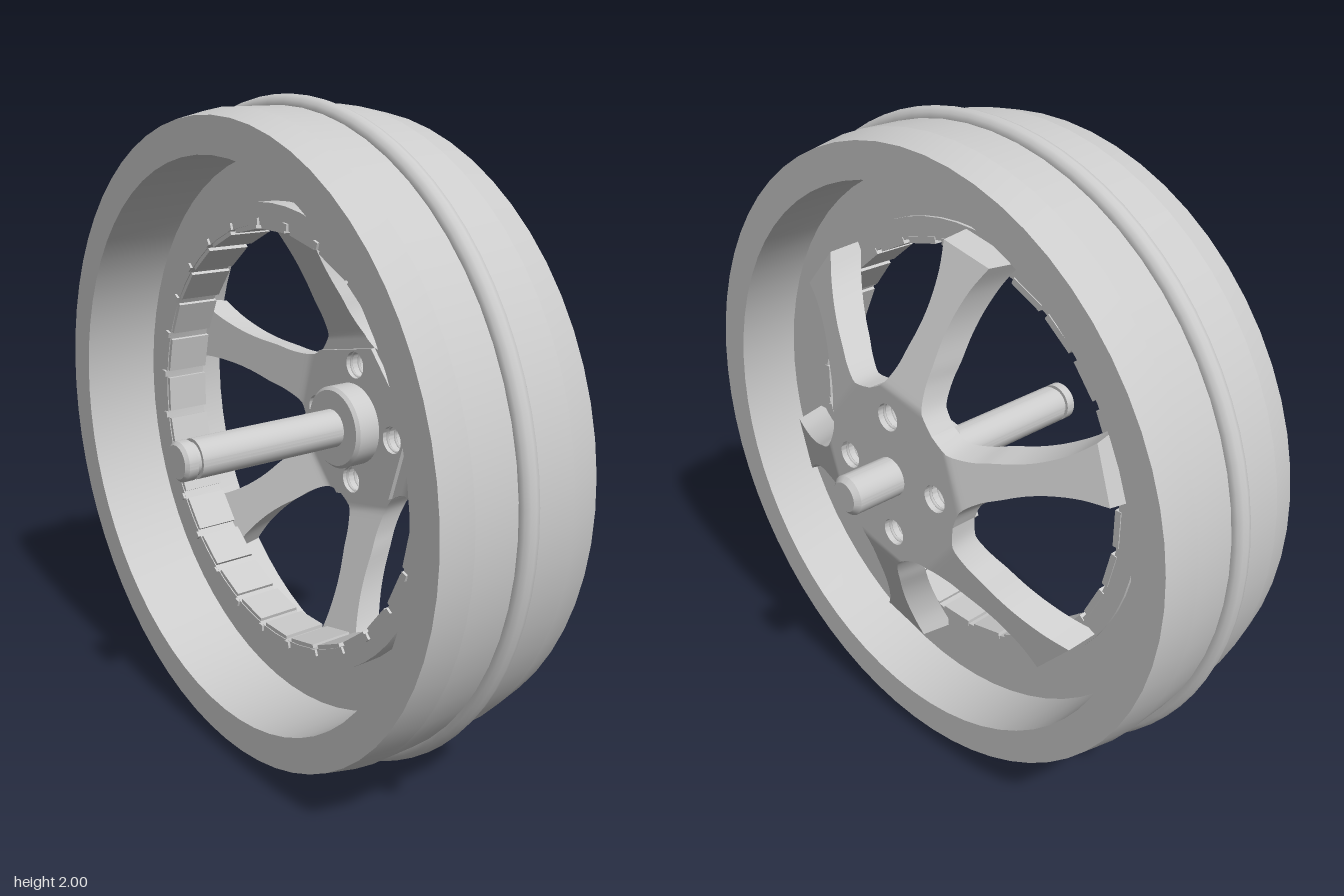
import * as THREE from 'three';
import { toCreasedNormals } from 'three/addons/utils/BufferGeometryUtils.js';

const mat = new THREE.MeshStandardMaterial({ color: 0xcccccc });

export function createModel() {
  const model = new THREE.Group();
  // The wheel is built around the z axis, then turned so the axle lies along x
  const wheel = new THREE.Group();
  wheel.name = 'wheel';
  wheel.rotation.y = Math.PI / 2;
  wheel.position.y = 1;
  model.add(wheel);

  const add = (name, geo, parent = wheel) => {
    const mesh = new THREE.Mesh(geo, mat);
    mesh.name = name;
    parent.add(mesh);
    return mesh;
  };
  // Turned part from [radius, depth] points, counter-clockwise
  const turned = (name, pts, segments = 64) => {
    const geo = new THREE.LatheGeometry(pts.map(([r, d]) => new THREE.Vector2(r, d)), segments);
    geo.rotateX(Math.PI / 2);
    return add(name, toCreasedNormals(geo, 0.18));
  };

  // Tyre with chamfered shoulders and a thin web deep inside it
  turned('tyreAndRim', [
    [0.95, -0.312], [0.97, -0.22], [0.97, 0.115], [0.95, 0.217],
    [0.845, 0.217], [0.845, 0.01], [0.69, 0.01], [0.69, -0.06],
    [0.845, -0.06], [0.845, -0.312], [0.95, -0.312],
  ]);
  const ridge = add('treadRidge', new THREE.TorusGeometry(0.97, 0.03, 12, 80));
  ridge.position.z = -0.05;

  // Inner ring standing out from the web, lined with plates
  turned('innerRing', [
    [0.705, -0.12], [0.705, 0.02], [0.64, 0.02], [0.64, -0.12], [0.705, -0.12],
  ]);
  const plates = new THREE.Group();
  plates.name = 'ringPlates';
  wheel.add(plates);
  const plateCount = 28;
  for (let i = 0; i < plateCount; i++) {
    const holder = new THREE.Group();
    holder.rotation.z = (i / plateCount) * Math.PI * 2;
    plates.add(holder);
    add('plate', new THREE.BoxGeometry(0.02, 0.115, 0.14), holder).position.set(0.636, 0, -0.047);
    const pin = add('platePin', new THREE.BoxGeometry(0.02, 0.02, 0.02), holder);
    const half = Math.PI / plateCount;
    pin.position.set(0.65 * Math.cos(half), 0.65 * Math.sin(half), -0.118);
    pin.rotation.z = half;
  }

  // Six-sided hub plate with four threaded bolt holes
  const hubShape = new THREE.Shape();
  const start = THREE.MathUtils.degToRad(18);
  for (let i = 0; i < 6; i++) {
    const a = start + Math.PI / 6 + (i * Math.PI) / 3;
    hubShape[i ? 'lineTo' : 'moveTo'](0.27 * Math.cos(a), 0.27 * Math.sin(a));
  }
  hubShape.closePath();
  for (let i = 0; i < 4; i++) {
    const a = (i * Math.PI) / 2 + 0.03;
    const x = 0.19 * Math.cos(a), y = 0.19 * Math.sin(a);
    const hole = new THREE.Path();
    hole.absarc(x, y, 0.042, 0, Math.PI * 2, true);
    hubShape.holes.push(hole);
    for (let k = 0; k < 3; k++) {
      add('boltThread', new THREE.TorusGeometry(0.042, 0.005, 6, 24)).position.set(x, y, 0.2 + k * 0.03);
    }
  }
  const hub = new THREE.ExtrudeGeometry(hubShape, { depth: 0.1, bevelEnabled: false, curveSegments: 24 });
  hub.translate(0, 0, 0.182);
  add('hub', toCreasedNormals(hub, 0.5));
  turned('hubBoss', [[0, 0.1], [0.12, 0.1], [0.13, 0.11], [0.13, 0.19]], 40);

  // Curved, sloping spokes that flare at both ends
  const spoke = spokeGeometry();
  for (let i = 0; i < 6; i++) {
    add('spoke', spoke).rotation.z = start + (i * Math.PI) / 3;
  }

  // Axle with chamfered ends and a groove near the back
  turned('axle', [
    [0, -0.455], [0.05, -0.455], [0.06, -0.445], [0.06, -0.415], [0.05, -0.415],
    [0.05, -0.4], [0.06, -0.4], [0.06, 0.44], [0.045, 0.455], [0, 0.455],
  ], 40);

  return model;
}

// Sweeps a four-cornered section along a spoke that points along +x
function spokeGeometry() {
  // Edge of the window beside the spoke, measured along and across the window
  const edge = new THREE.SplineCurve([
    [0.27, 0], [0.283, 0.065], [0.325, 0.118], [0.374, 0.155], [0.432, 0.197],
    [0.494, 0.23], [0.568, 0.256], [0.642, 0.268],
  ].map(([u, v]) => new THREE.Vector2(u, v)));
  const rows = 28, pos = [], idx = [];
  const c = Math.cos(Math.PI / 6), n = 0.5;
  edge.getPoints(rows).forEach(({ x: u, y: v }) => {
    const s = u * c + v * n, h = u * n - v * c;
    const front = 0.282 - 0.4 * Math.max(0, s - 0.28);
    const back = front - 0.085 - 0.06 * Math.max(0, s - 0.28);
    const hb = h + 0.018 * Math.min(1, v / 0.15);
    pos.push(s, h, front, s, -h, front, s, -hb, back, s, hb, back);
  });
  for (let i = 0; i < rows; i++) {
    for (let j = 0; j < 4; j++) {
      const a = i * 4 + j, b = i * 4 + ((j + 1) % 4);
      idx.push(a, b, b + 4, a, b + 4, a + 4);
    }
  }
  // Outer end
  const e = rows * 4;
  idx.push(e, e + 1, e + 2, e, e + 2, e + 3);
  const geo = new THREE.BufferGeometry();
  geo.setAttribute('position', new THREE.Float32BufferAttribute(pos, 3));
  geo.setIndex(idx);
  return toCreasedNormals(geo, 0.5);
}
